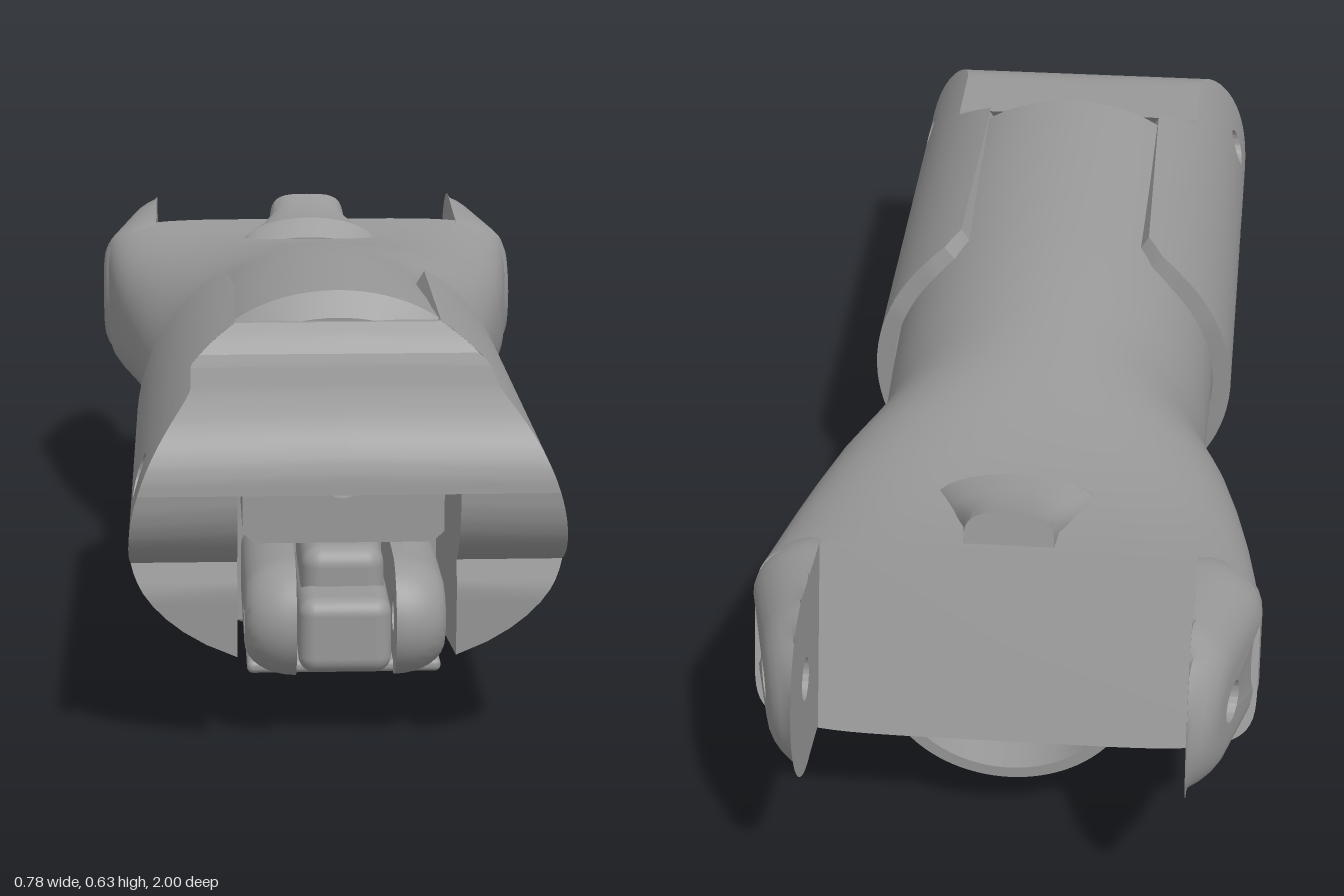
import * as THREE from 'three';
import { toCreasedNormals } from 'three/addons/utils/BufferGeometryUtils.js';
import { RoundedBoxGeometry } from 'three/addons/geometries/RoundedBoxGeometry.js';

const R = 0.317; // sleeve radius and height of its axis

// Surface through rows of [x, y, z] points
function grid(rows, flip = false, crease = 0.6) {
  const n = rows[0].length, index = [];
  for (let i = 0; i < rows.length - 1; i++) {
    for (let k = 0; k < n - 1; k++) {
      const a = i * n + k, b = a + n;
      if (flip) index.push(a, a + 1, b, b, a + 1, b + 1);
      else index.push(a, b, a + 1, b, b + 1, a + 1);
    }
  }
  const g = new THREE.BufferGeometry();
  g.setAttribute('position', new THREE.Float32BufferAttribute(rows.flat(2), 3));
  g.setIndex(index);
  return toCreasedNormals(g, crease);
}

// Closed loft of superellipse sections [z, halfWidth, bottom, top, exponent, lean]
function loft(stations, seg = 72) {
  const rows = stations.map(([z, w, yb, yt, e, lean = 0]) => {
    const row = [], h = (yt - yb) / 2;
    for (let k = 0; k <= seg; k++) {
      const a = (k / seg) * Math.PI * 2, c = Math.cos(a), s = Math.sin(a);
      const u = Math.sign(c) * Math.abs(c) ** (2 / e);
      const v = Math.sign(s) * Math.abs(s) ** (2 / e);
      row.push([w * u, yb + h + h * v, z + lean * v]);
    }
    return row;
  });
  const cap = ([z, , yb, yt]) => Array.from({ length: seg + 1 }, () => [0, (yb + yt) / 2, z]);
  return grid([cap(stations[0]), ...rows, cap(stations.at(-1))]);
}

// Adds points along the long segments of a [z, y] outline
function densify(pts) {
  const out = [pts[0]];
  for (let i = 1; i < pts.length; i++) {
    const [p, q] = [pts[i - 1], pts[i]];
    const n = Math.ceil(Math.hypot(q[0] - p[0], q[1] - p[1]) / 0.0213);
    for (let j = 1; j <= n; j++) {
      out.push([p[0] + ((q[0] - p[0]) * j) / n, p[1] + ((q[1] - p[1]) * j) / n]);
    }
  }
  return out;
}

// Points of a round hole facing each point of a [z, y] contour
const holeRing = (contour, [cz, cy], r) => contour.map(([z, y]) => {
  const d = Math.hypot(z - cz, y - cy);
  return [cz + ((z - cz) / d) * r, cy + ((y - cy) / d) * r];
});

// Hinge ear: stadium from a to b with a hole at b, outer rim rounded, thinner towards its root
function ear(a, b, r, hole, x0, x1, inset, side, taper = 0) {
  const dir = Math.sign(b[0] - a[0]);
  const arc = (o, rad, start) => Array.from({ length: 25 }, (_, k) => {
    const t = start + (k / 24) * Math.PI;
    return [o[0] + rad * Math.cos(t), o[1] + rad * Math.sin(t)];
  });
  const contour = (rad) => {
    const pts = [...arc(b, rad, -dir * Math.PI / 2), ...arc(a, rad, dir * Math.PI / 2)];
    return densify([...pts, pts[0]]);
  };
  const at = (ring, x) => ring.map(([z, y]) => {
    const thin = Math.max(0, (a[0] - z) * -dir) * taper;
    return [side * Math.max(x0, x - thin), y, z];
  });
  const inner = holeRing(contour(r), b, hole);
  const rows = [at(inner, x0)];
  for (let i = 0; i <= 8; i++) {
    const t = (i / 8) * Math.PI / 2;
    rows.push(at(contour(r - inset * (1 - Math.cos(t))), x0 + (x1 - x0) * Math.sin(t)));
  }
  rows.push(at(inner, x1), at(inner, x0));
  return grid(rows, side < 0);
}

// Sleeve cross-section: round above, its underside rising towards the front
const sleeveBottom = (z) => Math.max(0, z - 0.2) * 0.168;
function sleeveX(y, z) {
  const h = y < R ? R - sleeveBottom(z) : R;
  return R * Math.sqrt(Math.max(0, 1 - ((y - R) / h) ** 2));
}

// Side outline of the sleeve as [z, y]; the front underside follows the notch edge at x = 0.16
function sleeveOutline(pivot) {
  const notchY = (z) => R - (R - sleeveBottom(z)) * Math.sqrt(1 - (0.16 / R) ** 2);
  const pts = [[0.2, 0], [0.175, 0.2], [0.152, 0.45], [0.155, 0.54], [0.165, 0.57], [0.2, 0.588],
    [0.62, 0.592], [0.65, 0.592], [0.67, 0.572], [0.685, 0.55], [0.72, 0.54]];
  for (const deg of [90, 80, 70, 60, 50, 40, 30, 20, 10, 0, -10, -20, -30, -40, -50, -58, -64]) {
    const a = THREE.MathUtils.degToRad(deg);
    pts.push([pivot[0] + 0.13 * Math.cos(a), pivot[1] + 0.13 * Math.sin(a)]);
  }
  pts.push([0.938, 0.25], [0.932, notchY(0.932)], [0.55, notchY(0.55)], [0.51, sleeveBottom(0.51)], [0.2, 0]);
  return densify(pts);
}

export function createModel() {
  const model = new THREE.Group();
  const grey = new THREE.MeshStandardMaterial({ color: 0x999999, side: THREE.DoubleSide });
  grey.name = 'grey';
  const add = (name, geometry, x = 0, y = 0, z = 0) => {
    const mesh = new THREE.Mesh(geometry, grey);
    mesh.name = name;
    mesh.position.set(x, y, z);
    model.add(mesh);
    return mesh;
  };

  // Main body, flaring into the rear fork; its last section is the leaning fork face
  add('body', loft([
    [0.642, 0.2, 0.34, 0.597, 2], [0.61, 0.23, 0.305, 0.634, 2], [0.4, 0.27, 0.12, 0.624, 2],
    [0.2, 0.283, 0.02, 0.612, 2], [0.1, 0.282, 0.013, 0.605, 2], [0, 0.28, 0.007, 0.595, 2],
    [-0.06, 0.281, 0.004, 0.588, 2], [-0.1, 0.284, 0.013, 0.583, 2.05], [-0.15, 0.291, 0.045, 0.576, 2.1],
    [-0.2, 0.301, 0.1, 0.568, 2.2], [-0.25, 0.315, 0.145, 0.559, 2.3], [-0.3, 0.329, 0.178, 0.55, 2.45],
    [-0.4, 0.352, 0.205, 0.533, 2.9], [-0.5, 0.369, 0.219, 0.525, 3.6], [-0.6, 0.381, 0.228, 0.526, 4.6],
    [-0.72, 0.39, 0.237, 0.533, 5.6, 0.05],
  ]));

  // Low hump on top of the fork root
  add('topHump', loft([
    [-0.475, 0.13, 0.45, 0.53, 2], [-0.51, 0.13, 0.45, 0.562, 2], [-0.56, 0.1, 0.45, 0.563, 2.4],
    [-0.61, 0.075, 0.45, 0.572, 3], [-0.66, 0.07, 0.47, 0.585, 3.5, 0.01],
  ], 32));

  // Half-round trough below the fork
  const trough = new THREE.Shape();
  trough.absarc(0, 0, 0.2, Math.PI, Math.PI * 2, false);
  trough.absarc(0, 0, 0.18, Math.PI * 2, Math.PI, true);
  add('trough', toCreasedNormals(new THREE.ExtrudeGeometry(trough,
    { depth: 0.62, bevelEnabled: false, curveSegments: 32 }), 0.6), 0, 0.3, -0.7).rotation.x = -0.04;

  // Front sleeve: curved sides with the pivot hole, and edges joining them
  const pivot = [0.87, 0.41], bore = 0.033;
  const outline = sleeveOutline(pivot);
  const hole = holeRing(outline, pivot, bore);
  const inNotch = ([z, y]) => z > 0.5499 && y < 0.411;
  for (const side of [1, -1]) {
    const onSleeve = ([z, y]) => [side * sleeveX(y, z), y, z];
    const rows = [];
    for (let i = 0; i <= 16; i++) {
      const t = i / 16;
      rows.push(outline.map(([z, y], k) =>
        onSleeve([hole[k][0] + (z - hole[k][0]) * t, hole[k][1] + (y - hole[k][1]) * t])));
    }
    add('sleeveSide', grid(rows, side < 0));
    add('pivotHole', grid([hole.map(([z, y]) => [y > pivot[1] ? 0 : side * 0.16, y, z]),
      hole.map(onSleeve)], side > 0));

    // Edges: thin lips around the slot and rear, full width elsewhere, open at the notch
    const runs = [];
    for (let k = 1; k < outline.length; k++) {
      const p = outline[k - 1], q = outline[k];
      const mz = (p[0] + q[0]) / 2, my = (p[1] + q[1]) / 2;
      const mode = inNotch(p) && inNotch(q) ? 'notchEdge'
        : mz < 0.1999 || (mz < 0.64 && my > 0.5) ? 'sleeveLip' : 'sleeveFace';
      if (!runs.length || runs.at(-1).mode !== mode) runs.push({ mode, pts: [p] });
      runs.at(-1).pts.push(q);
    }
    for (const { mode, pts } of runs) {
      const outer = pts.map(onSleeve);
      const inner = outer.map(([x, y, z]) => mode === 'sleeveLip' ? [x * 0.9, R + (y - R) * 0.9, z]
        : [mode === 'notchEdge' ? side * 0.16 : 0, y, z]);
      add(mode, grid([outer, inner], side < 0));
    }

    // Flat wall of the front notch, cut away around the pivot hole
    const wall = new THREE.Shape([...outline.filter(inNotch), [0.55, 0.41]]
      .map(([z, y]) => new THREE.Vector2(-z, y)));
    wall.absarc(-pivot[0], pivot[1], bore, 0, Math.PI, true);
    add('notchWall', new THREE.ShapeGeometry(wall), side * 0.16).rotation.y = Math.PI / 2;

    // Rear fork ears and the small front hinge ears
    add('rearEar', ear([-0.7, 0.385], [-0.852, 0.404], 0.147, bore, 0.29, 0.392, 0.085, side, 0.25));
    add('frontEar', ear([0.6, 0.187], [0.845, 0.187], 0.089, 0.026, 0.073, 0.149, 0.05, side));
  }

  // Notch ceiling on both sides of the pivot hole, and notch back
  for (const [z0, z1] of [[0.55, pivot[0] - bore], [pivot[0] + bore, 1]]) {
    add('notchCeiling', new THREE.PlaneGeometry(0.32, z1 - z0), 0, 0.41, (z0 + z1) / 2).rotation.x = Math.PI / 2;
  }
  add('notchBack', new THREE.PlaneGeometry(0.32, 0.317), 0, 0.2515, 0.551);

  // Block with a scooped top and chamfered lower corners
  const block = new THREE.Shape();
  block.moveTo(-0.15, 0.402);
  block.lineTo(-0.15, 0.31);
  block.lineTo(-0.133, 0.294);
  block.lineTo(0.133, 0.294);
  block.lineTo(0.15, 0.31);
  block.lineTo(0.15, 0.402);
  block.lineTo(0.045, 0.402);
  block.absarc(0, 0.402, 0.04, 0, Math.PI, true);
  add('notchBlock', toCreasedNormals(new THREE.ExtrudeGeometry(block,
    { depth: 0.26, bevelEnabled: false }), 0.6), 0, 0, 0.57);

  // Rounded tongue between the front ears
  add('tongue', new RoundedBoxGeometry(0.138, 0.115, 0.33, 4, 0.025), 0, 0.163, 0.725);
  add('tongueTop', new RoundedBoxGeometry(0.125, 0.1, 0.26, 4, 0.03), 0, 0.228, 0.68);
  add('earFloor', new RoundedBoxGeometry(0.29, 0.02, 0.3, 3, 0.009), 0, 0.107, 0.7);
  return model;
}
